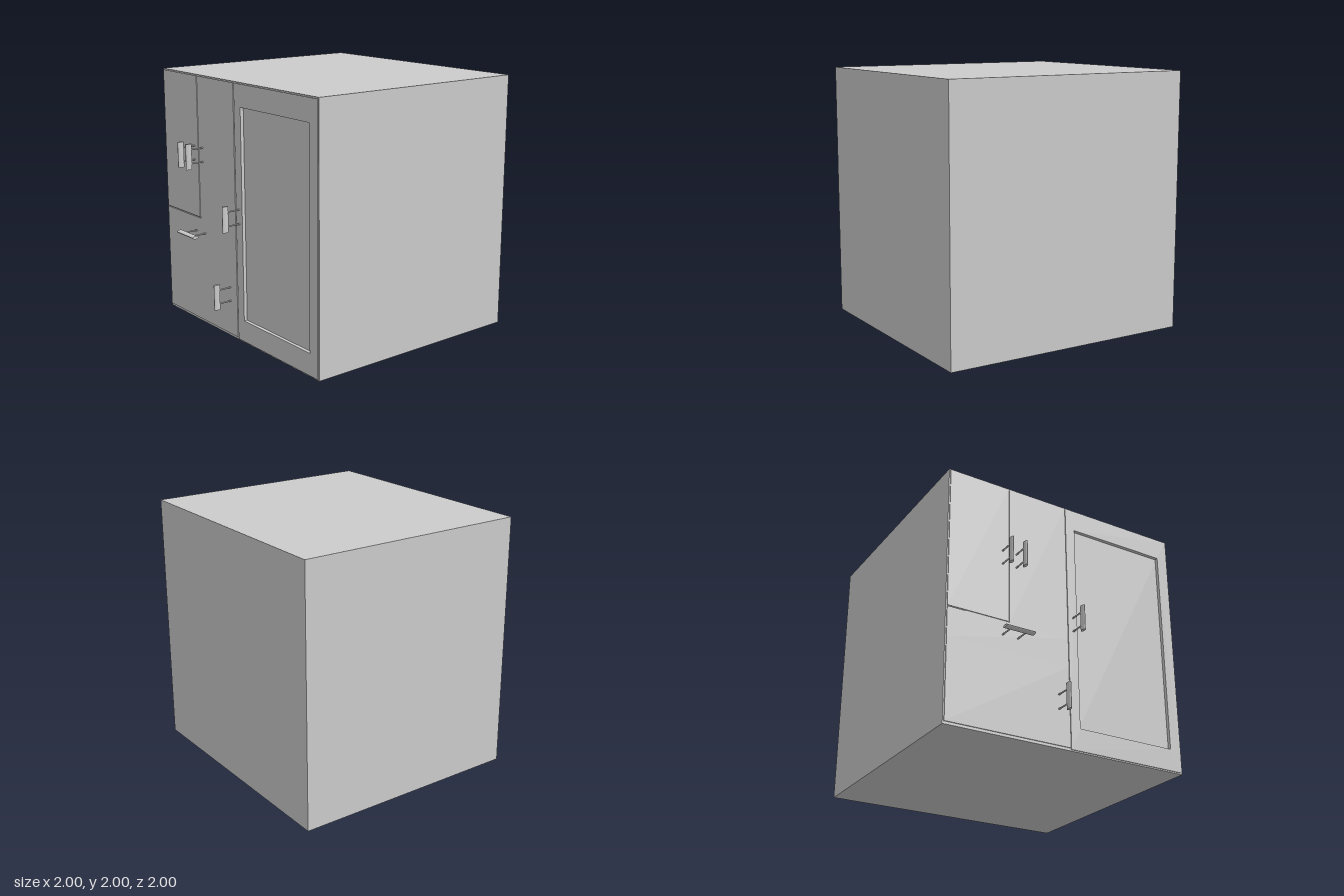
import * as THREE from 'three';

const material = new THREE.MeshStandardMaterial({ color: 0xcccccc });
const BODY_FRONT = 0.84, DOOR_FRONT = 0.847, RECESS_BACK = 0.82;

function add(parent, name, geometry) {
  const mesh = new THREE.Mesh(geometry, material);
  mesh.name = name;
  parent.add(mesh);
  return mesh;
}

function block(parent, name, x0, x1, y0, y1, z0, z1) {
  const mesh = add(parent, name, new THREE.BoxGeometry(x1 - x0, y1 - y0, z1 - z0));
  mesh.position.set((x0 + x1) / 2, (y0 + y1) / 2, (z0 + z1) / 2);
}

// Flat frame with a rectangular opening, extruded from z0 to z1
function frame(parent, name, [x0, x1, y0, y1], [a0, a1, b0, b1], z0, z1) {
  const rect = (C, l, r, b, t) => new C([[l, b], [r, b], [r, t], [l, t]].map(([x, y]) => new THREE.Vector2(x, y)));
  const shape = rect(THREE.Shape, x0, x1, y0, y1);
  shape.holes.push(rect(THREE.Path, a0, a1, b0, b1));
  const mesh = add(parent, name, new THREE.ExtrudeGeometry(shape, { depth: z1 - z0, bevelEnabled: false }));
  mesh.position.z = z0;
}

// Oval bar on two round posts, upright unless turned
function handle(parent, name, x, y, length, spacing, turned = false) {
  const group = new THREE.Group();
  group.name = name;
  const bar = add(group, 'handleBar', new THREE.CylinderGeometry(1, 1, length, 24));
  bar.scale.set(0.012, 1, 0.0265);
  bar.position.z = 0.9735;
  for (const side of [-1, 1]) {
    const post = add(group, 'handlePost', new THREE.CylinderGeometry(0.006, 0.006, 0.12, 12));
    post.rotation.x = Math.PI / 2;
    post.position.set(0, side * spacing / 2, 0.9);
  }
  group.position.set(x, y, 0);
  if (turned) group.rotation.z = Math.PI / 2;
  parent.add(group);
}

export function createModel() {
  const model = new THREE.Group();
  model.name = 'wardrobe';

  // Two cabinet bodies side by side, the one at +x open behind its recessed panel
  const opening = [0.09, 0.9, 0.18, 1.82];
  block(model, 'cabinetBodyRight', -1, 0, 0, 2, -1, BODY_FRONT);
  block(model, 'cabinetBodyLeft', 0, 1, 0, 2, -1, RECESS_BACK);
  frame(model, 'cabinetFrontLeft', [0, 1, 0, 2], opening, RECESS_BACK, BODY_FRONT);

  // Thin door and drawer fronts
  const front = (name, x0, x1, y0, y1) => block(model, name, x0, x1, y0, y1, BODY_FRONT, DOOR_FRONT);
  front('upperDoorOuter', -0.99, -0.5, 0.874, 1.99);
  front('upperDoorInner', -0.492, 0, 0.866, 1.99);
  front('drawerFront', -0.99, 0, 0.635, 0.866);
  front('lowerDoor', -0.99, 0, 0.02, 0.635);
  frame(model, 'tallDoorFrame', [0.01, 0.99, 0.01, 1.99], opening, BODY_FRONT, DOOR_FRONT);

  // Handles
  handle(model, 'upperDoorOuterHandle', -0.55, 1.385, 0.2, 0.11);
  handle(model, 'upperDoorInnerHandle', -0.435, 1.385, 0.2, 0.11);
  handle(model, 'tallDoorHandle', 0.053, 0.993, 0.2, 0.11);
  handle(model, 'lowerDoorHandle', -0.087, 0.348, 0.2, 0.11);
  handle(model, 'drawerHandle', -0.487, 0.757, 0.235, 0.125, true);

  return model;
}
